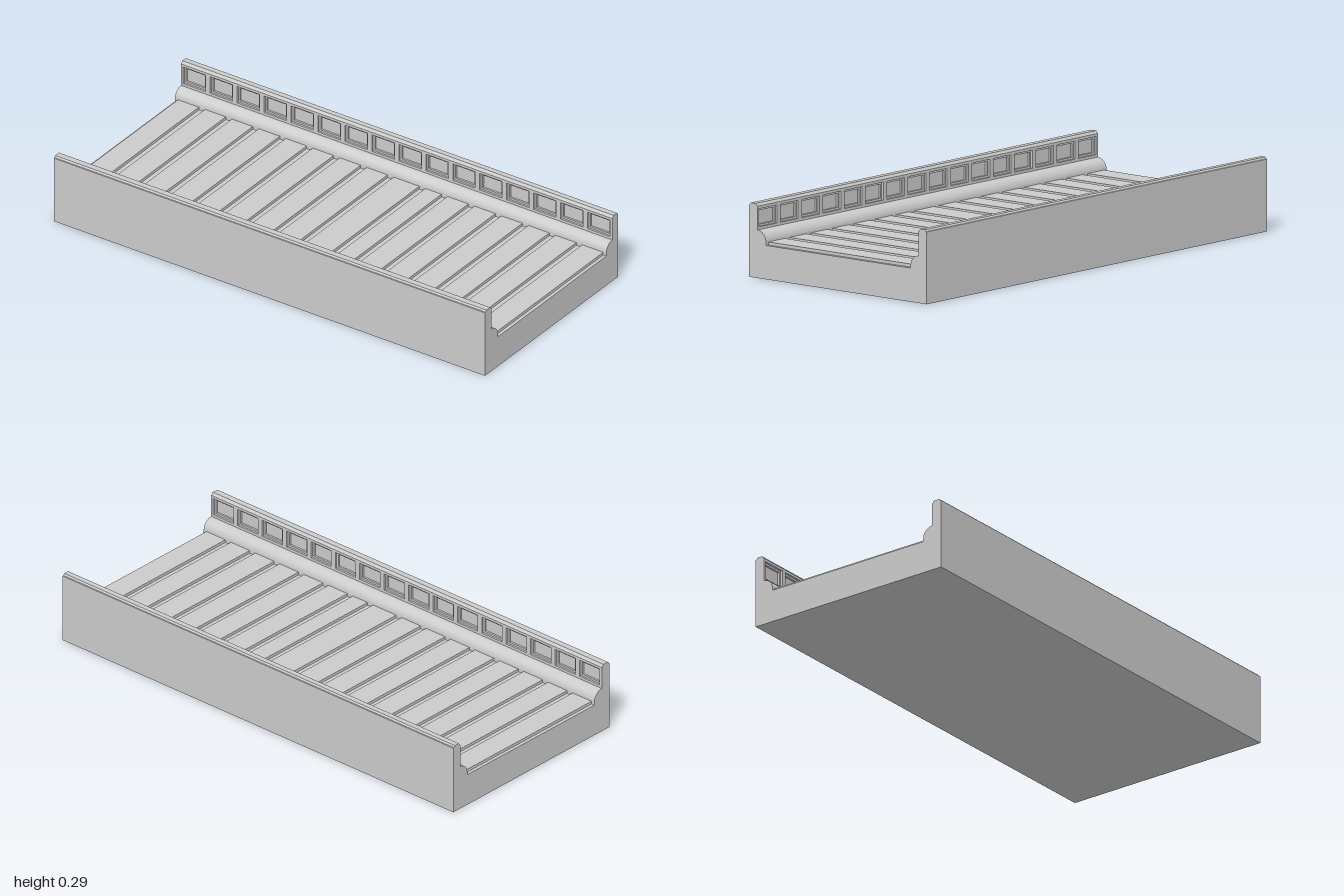
import * as THREE from 'three';

const LENGTH = 2, FLOOR = 0.131, DECK = 0.143, BAYS = 16, PITCH = LENGTH / BAYS;
const material = new THREE.MeshStandardMaterial({ color: 0xcccccc, flatShading: true });

function add(group, name, geometry) {
  const mesh = new THREE.Mesh(geometry, material);
  mesh.name = name;
  group.add(mesh);
  return mesh;
}

// Points along the inside of one side wall, from its outer top edge down to the floor
function wallProfile(face, outer, radius) {
  const slot = face + 0.016;
  const points = [
    [outer, 0.28], [outer - 0.004, 0.281], [outer - 0.009, 0.288],
    [face + 0.009, 0.288], [face + 0.004, 0.281], [face, 0.278],
    [slot, 0.278], [slot, DECK + radius], [face, DECK + radius],
  ];
  // Quarter-round moulding at the foot of the wall
  for (let i = 1; i <= 8; i++) {
    const a = (i / 8) * Math.PI / 2;
    points.push([face - radius * Math.sin(a), DECK + radius * Math.cos(a)]);
  }
  points.push([face - radius, FLOOR]);
  return points;
}

// Flat strip with a row of rectangular openings, one per bay
function panelStrip(y0, y1, margin, openW, depth) {
  const shape = new THREE.Shape();
  shape.moveTo(-1, y0).lineTo(1, y0).lineTo(1, y1).lineTo(-1, y1).closePath();
  for (let i = 0; i < BAYS; i++) {
    const x = -1 + (i + 0.5) * PITCH, w = openW / 2;
    const hole = new THREE.Path();
    hole.moveTo(x - w, y0 + margin).lineTo(x - w, y1 - margin)
      .lineTo(x + w, y1 - margin).lineTo(x + w, y0 + margin).closePath();
    shape.holes.push(hole);
  }
  return new THREE.ExtrudeGeometry(shape, { depth, bevelEnabled: false });
}

export function createModel() {
  const model = new THREE.Group();
  model.name = 'trough';

  // Channel body: cross-section drawn as (z, y), swept along x
  const front = { face: 0.402, outer: 0.445, radius: 0.043 };
  const back = { face: 0.405, outer: 0.445, radius: 0.04 };
  const frontPts = wallProfile(front.face, front.outer, front.radius);
  const backPts = wallProfile(back.face, back.outer, back.radius)
    .map(([z, y]) => [-z, y]).reverse();
  const outline = [[0.445, 0], ...frontPts, ...backPts, [-0.445, 0]];
  const section = new THREE.Shape(outline.map(([z, y]) => new THREE.Vector2(-z, y)));
  const body = new THREE.ExtrudeGeometry(section, { depth: LENGTH, bevelEnabled: false });
  body.translate(0, 0, -LENGTH / 2).rotateY(Math.PI / 2);
  add(model, 'channelBody', body);

  // Floor planks separated by narrow grooves, with half grooves at the ends
  const gap = 0.028;
  const planks = new THREE.Group();
  planks.name = 'floorPlanks';
  model.add(planks);
  const joints = Array.from({ length: BAYS + 1 }, (_, i) => -1 + i * PITCH);
  joints[9] += 0.022;
  const z0 = -back.face + back.radius, z1 = front.face - front.radius;
  for (let i = 0; i < BAYS; i++) {
    const a = joints[i] + gap / 2, b = joints[i + 1] - gap / 2;
    const plank = add(planks, 'plank', new THREE.BoxGeometry(b - a, DECK - FLOOR, z1 - z0));
    plank.position.set((a + b) / 2, (DECK + FLOOR) / 2, (z0 + z1) / 2);
  }

  // Stepped recessed panels lining both walls
  for (const [name, wall, side] of [['front', front, 1], ['back', back, -1]]) {
    const y0 = DECK + wall.radius;
    [[0.011, 0.104], [0.019, 0.088]].forEach(([margin, width], level) => {
      const strip = add(model, name + 'WallPanels', panelStrip(y0, 0.278, margin, width, 0.008));
      const inner = wall.face + level * 0.008;
      strip.position.z = side > 0 ? inner : -inner - 0.008;
    });
  }
  return model;
}
